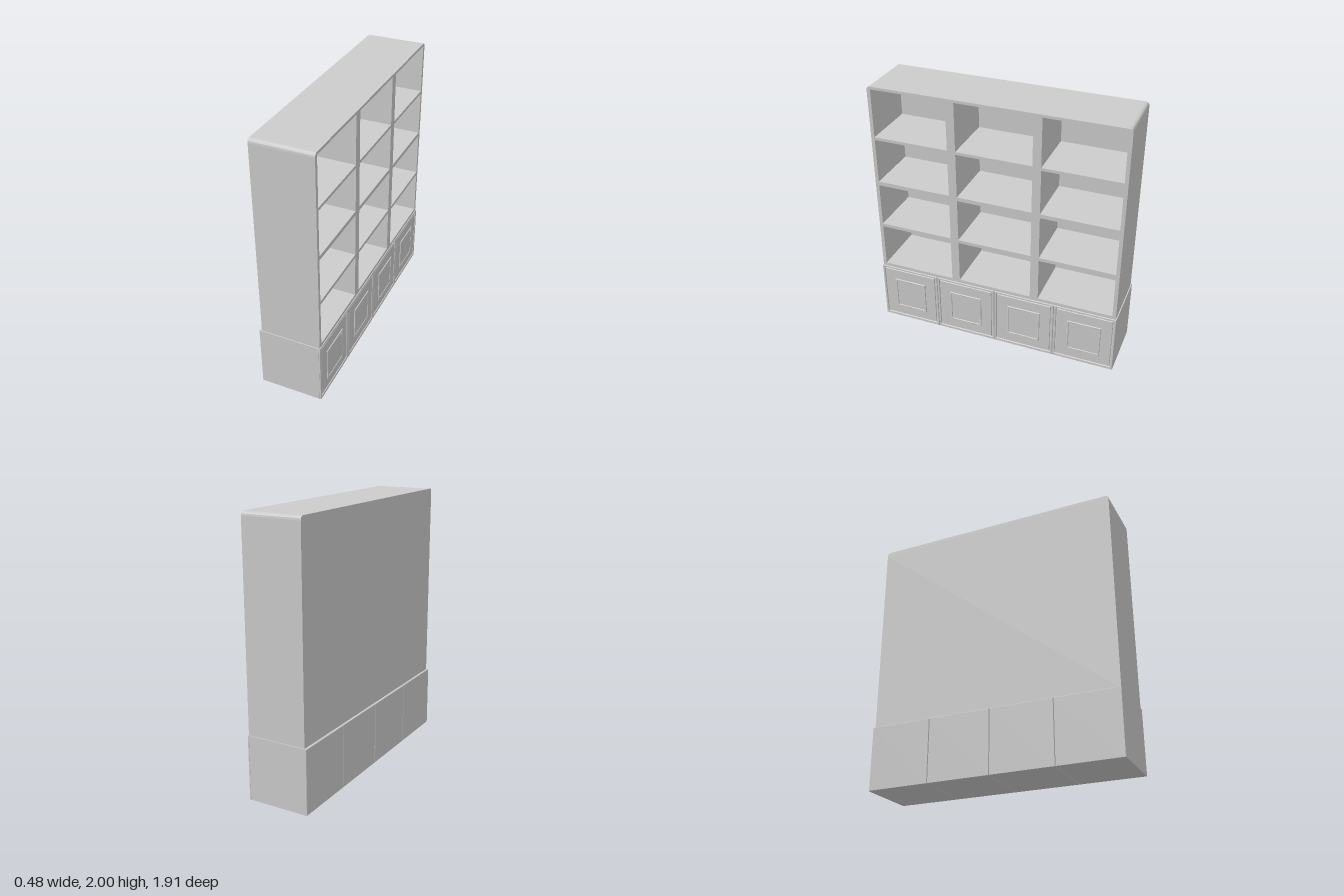
import * as THREE from 'three';

const material = new THREE.MeshStandardMaterial({ color: 0xcccccc, flatShading: true });

// Rectangle outline in the (-z, y) plane, corners listed counter-clockwise
function rect(path, a0, a1, y0, y1) {
  path.moveTo(a0, y0);
  path.lineTo(a1, y0);
  path.lineTo(a1, y1);
  path.lineTo(a0, y1);
  path.closePath();
  return path;
}

// Extrude a side-on outline from x0 to x1, with an optional edge bevel
function slab(name, shape, x0, x1, bevel = 0) {
  const geo = new THREE.ExtrudeGeometry(shape, {
    depth: x1 - x0 - 2 * bevel,
    bevelEnabled: bevel > 0,
    bevelThickness: bevel,
    bevelSize: bevel,
    bevelOffset: -bevel,
    bevelSegments: 1,
    curveSegments: 4,
  });
  geo.translate(0, 0, x0 + bevel);
  geo.rotateY(Math.PI / 2);
  const mesh = new THREE.Mesh(geo, material);
  mesh.name = name;
  return mesh;
}

// Upper case outline with rounded top corners
function caseOutline() {
  const w = 0.947, r = 0.03, s = new THREE.Shape();
  s.moveTo(-w, 0.475);
  s.lineTo(w, 0.475);
  s.lineTo(w, 2 - r);
  s.quadraticCurveTo(w, 2, w - r, 2);
  s.lineTo(-w + r, 2);
  s.quadraticCurveTo(-w, 2, -w, 2 - r);
  s.closePath();
  return s;
}

function createBookcase() {
  const group = new THREE.Group();
  group.name = 'bookcase';
  const columns = [[-0.92, -0.348], [-0.285, 0.285], [0.348, 0.92]];
  const rows = [[0.505, 0.847], [0.873, 1.212], [1.243, 1.588], [1.61, 1.98]];
  const grid = caseOutline();
  for (const [a0, a1] of columns) {
    for (const [y0, y1] of rows) grid.holes.push(rect(new THREE.Path(), a0, a1, y0, y1));
  }
  group.add(slab('shelfGrid', grid, -0.2, 0.228));
  group.add(slab('backPanel', caseOutline(), -0.222, -0.2));
  return group;
}

// One cupboard of the base, centred on its own z
function createCupboard() {
  const group = new THREE.Group();
  const h = 0.2375;
  group.add(slab('cupboardBody', rect(new THREE.Shape(), -h, h, 0, 0.48), -0.24, 0.225, 0.003));

  // Rim around the door, then the slightly recessed door
  const rim = rect(new THREE.Shape(), -h, h, 0, 0.48);
  rim.holes.push(rect(new THREE.Path(), -0.22, 0.22, 0.024, 0.464));
  group.add(slab('doorFrame', rim, 0.221, 0.235, 0.003));
  group.add(slab('door', rect(new THREE.Shape(), -0.214, 0.214, 0.03, 0.456), 0.22, 0.232, 0.003));

  // Raised square moulding with a flat centre
  const moulding = rect(new THREE.Shape(), -0.13, 0.13, 0.107, 0.372);
  moulding.holes.push(rect(new THREE.Path(), -0.116, 0.116, 0.121, 0.358));
  group.add(slab('doorMoulding', moulding, 0.229, 0.24, 0.003));
  group.add(slab('doorCentre', rect(new THREE.Shape(), -0.118, 0.118, 0.119, 0.36), 0.225, 0.235));
  return group;
}

export function createModel() {
  const model = new THREE.Group();
  model.name = 'bookcaseWithCupboards';
  model.add(createBookcase());

  // Row of four cupboards with narrow seams between them
  for (let i = 0; i < 4; i++) {
    const cupboard = createCupboard();
    cupboard.name = `cupboard${i + 1}`;
    cupboard.position.z = (i - 1.5) * 0.478;
    model.add(cupboard);
  }
  return model;
}
